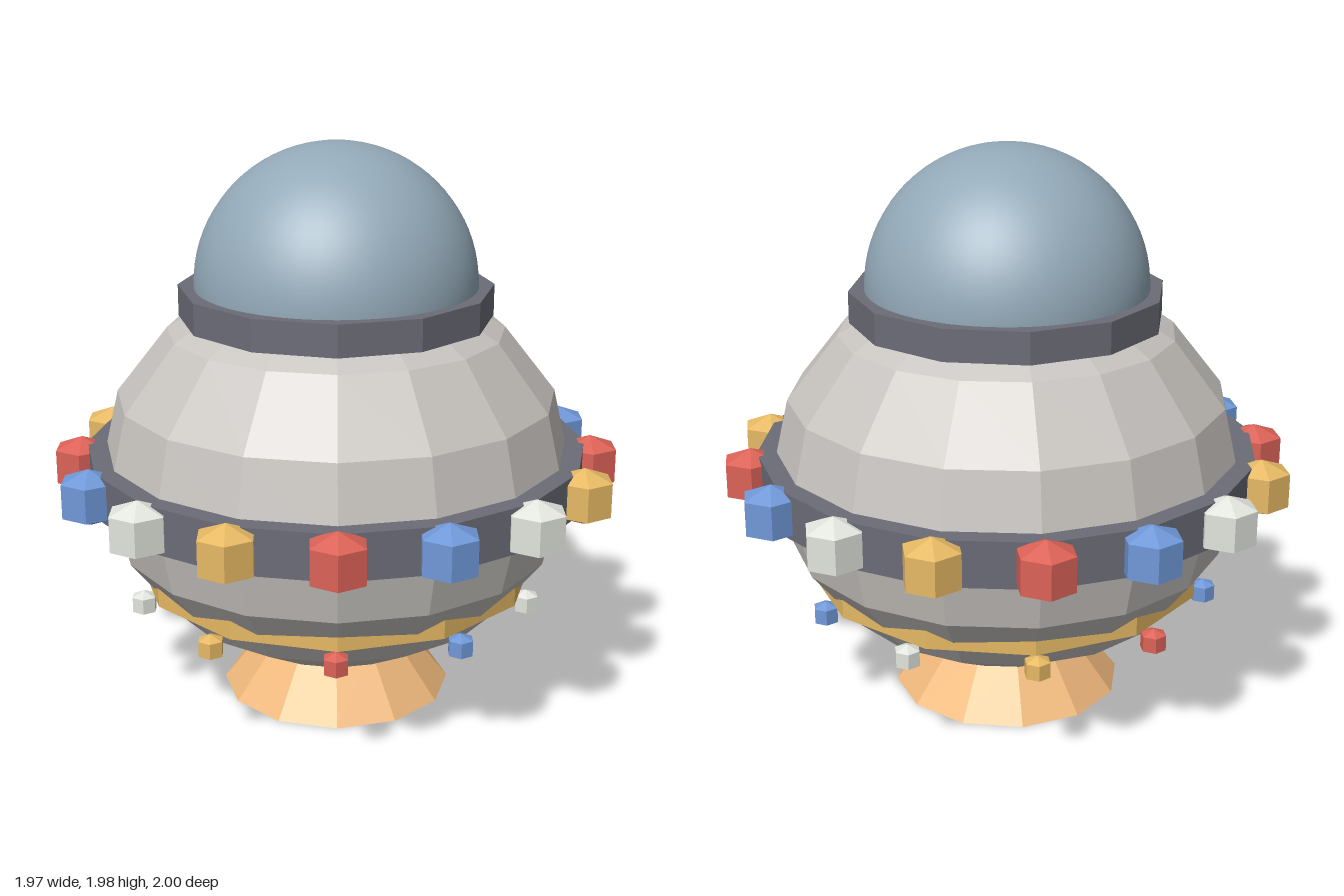
import * as THREE from 'three';

const flat = (color) => new THREE.MeshStandardMaterial({ color, flatShading: true });

const MAT = {
  hull: flat(0xc8c4c0),
  trim: flat(0x6c6c78),
  gold: flat(0xe6b964),
  foot: flat(0xf0b97c),
  red: flat(0xdc6257),
  blue: flat(0x7098d8),
  white: flat(0xe2e5dd),
};

// Six-sided stud: a short prism with a shallow point at each end
const studGeometry = new THREE.LatheGeometry(
  [[0, -0.1], [0.1, -0.06], [0.1, 0.06], [0, 0.1]].map(([r, y]) => new THREE.Vector2(r, y)), 6);

function addMesh(parent, name, geometry, material, y = 0) {
  const mesh = new THREE.Mesh(geometry, material);
  mesh.name = name;
  mesh.position.y = y;
  parent.add(mesh);
  return mesh;
}

// Closed drum or cone standing between two heights
function drum(parent, name, rTop, rBottom, y0, y1, sides, material) {
  const geometry = new THREE.CylinderGeometry(rTop, rBottom, y1 - y0, sides);
  return addMesh(parent, name, geometry, material, (y0 + y1) / 2);
}

// Circle of studs, starting at the front and going towards +x; studs keep their own orientation
function studRing(parent, name, radius, y, scale, colours) {
  const ring = new THREE.Group();
  ring.name = name;
  colours.forEach((colour, i) => {
    const a = (i / colours.length) * Math.PI * 2;
    const stud = addMesh(ring, 'stud', studGeometry, MAT[colour]);
    stud.position.set(radius * Math.sin(a), y, radius * Math.cos(a));
    stud.scale.setScalar(scale);
  });
  parent.add(ring);
  return ring;
}

export function createModel() {
  const model = new THREE.Group();
  model.name = 'saucer';

  // Faceted, flattened hull
  const hull = new THREE.SphereGeometry(0.83, 16, 8);
  hull.scale(1, 0.705 / 0.83, 1);
  addMesh(model, 'hull', hull, MAT.hull, 0.84);

  // Flared foot, belt, lower trim ring and dome collar
  drum(model, 'foot', 0.25, 0.41, 0, 0.2, 12, MAT.foot);
  drum(model, 'belt', 0.88, 0.88, 0.76, 0.92, 16, MAT.trim);
  drum(model, 'lowerRing', 0.705, 0.705, 0.44, 0.52, 12, MAT.gold);
  drum(model, 'collar', 0.545, 0.545, 1.38, 1.49, 12, MAT.trim);

  // Smooth dome
  const dome = new THREE.SphereGeometry(0.49, 48, 20, 0, Math.PI * 2, 0, Math.PI / 2);
  addMesh(model, 'dome', dome,
    new THREE.MeshStandardMaterial({ color: 0x93a9b8, side: THREE.DoubleSide }), 1.49);

  // Large studs on the belt and small studs below the lower ring
  const cycle = ['red', 'blue', 'white', 'gold'];
  studRing(model, 'beltStuds', 0.9, 0.84, 1, Array.from({ length: 16 }, (_, i) => cycle[i % 4]));
  const lower = studRing(model, 'lowerStuds', 0.705, 0.395, 0.45,
    ['red', 'blue', 'white', 'blue', 'white', 'gold', 'red', 'blue', 'white', 'gold']);
  lower.position.x = -0.005;

  return model;
}
